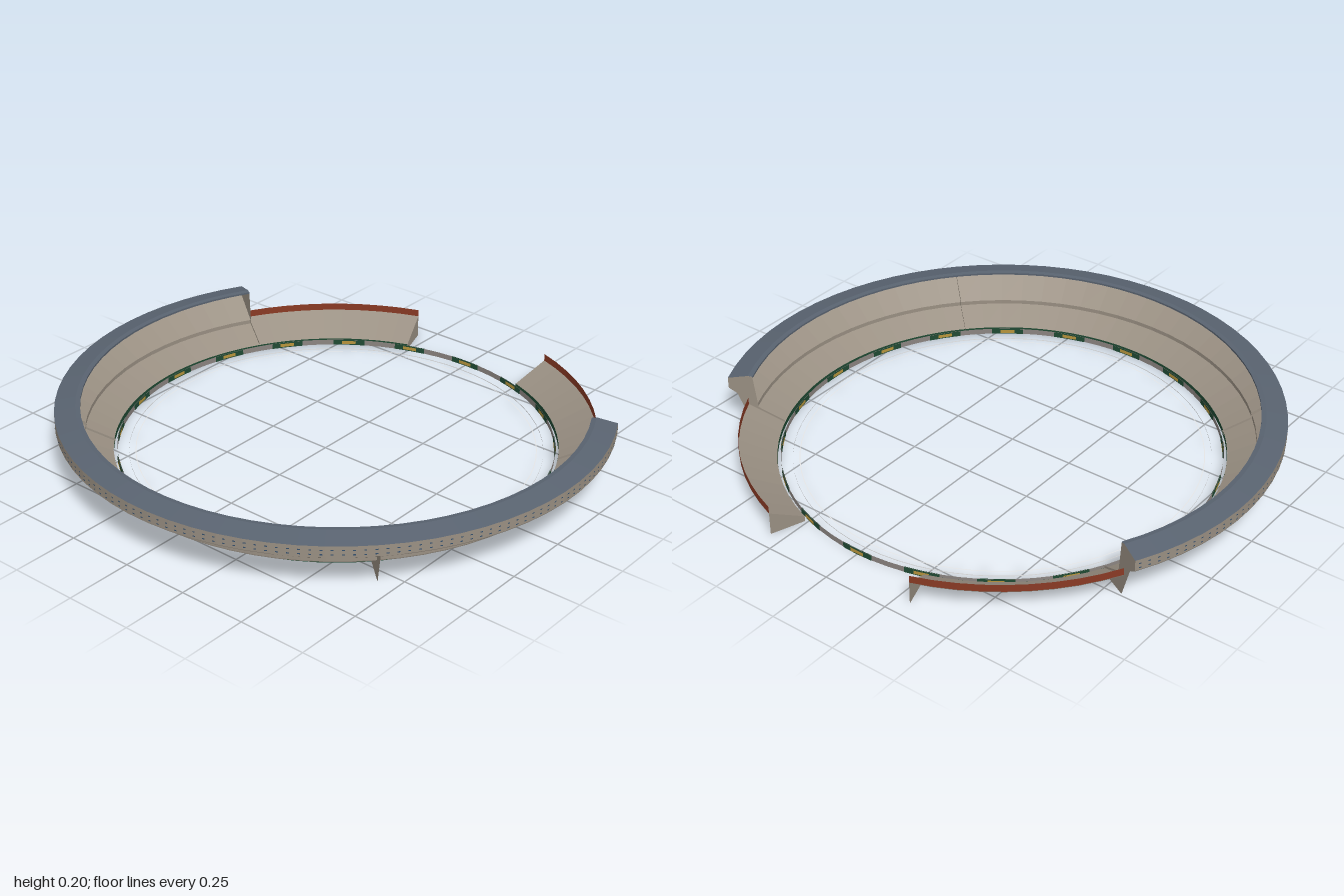
import * as THREE from 'three';

const mat = (name, color) => new THREE.MeshStandardMaterial({ name, color, side: THREE.DoubleSide });
const rad = THREE.MathUtils.degToRad;

export function createModel() {
  const concrete = mat('concrete', 0x9a9083);
  const shade = mat('underside concrete', 0x857d72);
  const slate = mat('roof slate', 0x596370);
  const red = mat('rim red', 0x8a3a24);
  const green = mat('board green', 0x1f4a33);
  const gold = mat('board gold', 0xb8953c);
  const grey = mat('board grey', 0x8c8581);
  const glass = mat('window blue', 0x34506e);
  const white = mat('boundary white', 0xf0f0f0);

  const model = new THREE.Group();
  model.name = 'stadiumBowl';
  const bowl = new THREE.Group();
  bowl.name = 'bowl';
  bowl.position.z = -0.06;
  model.add(bowl);

  const add = (name, geometry, material) => {
    const mesh = new THREE.Mesh(geometry, material);
    mesh.name = name;
    bowl.add(mesh);
    return mesh;
  };

  // Sweeps a radius/height profile around y; angles in degrees from the front
  const sweep = (name, profile, material, from, to, step = 5) => {
    const segments = Math.max(1, Math.round((to - from) / step));
    const points = profile.map(([r, y]) => new THREE.Vector2(r, y));
    const geometry = new THREE.LatheGeometry(points, segments, rad(from), rad(to - from)).toNonIndexed();
    geometry.computeVertexNormals();
    return add(name, geometry, material);
  };

  // Flat radial plate at a given angle
  const plate = (name, outline, material, angle) => {
    const shape = new THREE.Shape(outline.map(([r, y]) => new THREE.Vector2(r, y)));
    add(name, new THREE.ShapeGeometry(shape), material).rotation.y = rad(angle - 90);
  };

  const END = 118, BACK = 161;

  // Main stand: lower seats, step and upper seats, then the facade and roof
  sweep('mainStand', [[0.8, 0.02], [0.9, 0.07], [0.9, 0.085], [1, 0.15]], concrete, -END, END);
  sweep('lowerUnderside', [[0.801, 0.018], [0.901, 0.068]], shade, -END, END);
  sweep('upperUnderside', [[0.901, 0.083], [1, 0.148]], shade, -END, END);
  sweep('facade', [[1, 0.15], [1, 0.19]], concrete, -END, END);
  sweep('roof', [[1, 0.19], [0.925, 0.205], [0.908, 0.203], [0.908, 0.196]], slate, -END, END);

  // Two rows of tiny facade windows
  for (let a = -117; a <= 117; a += 2) {
    for (const y of [0.158, 0.174]) {
      sweep('facadeWindow', [[1.001, y], [1.001, y + 0.004]], glass, a - 0.25, a + 0.25);
    }
  }

  // Rear wings with a red rim
  for (const [from, to] of [[-BACK, -END], [END, BACK]]) {
    sweep('rearStand', [[0.8, 0.02], [0.93, 0.085]], concrete, from, to);
    sweep('rearUnderside', [[0.801, 0.018], [0.93, 0.083]], shade, from, to);
    sweep('rearRim', [[0.93, 0.085], [0.93, 0.112]], red, from, to);
  }
  sweep('standBase', [[0.8, 0], [0.8, 0.02]], green, -BACK, BACK);

  // Supporting fins, end walls and aisle ribs
  for (const side of [-1, 1]) {
    plate('frontFin', [[0.8, 0], [0.92, 0], [0.97, 0.128], [0.9, 0.1], [0.893, 0.075], [0.794, 0.026]], concrete, 48 * side);
    plate('aisleRib', [[0.9, 0.085], [1, 0.15], [1, 0.16], [0.893, 0.093]], concrete, 48 * side);
    plate('standEnd', [[0.8, 0], [0.92, 0], [0.97, 0.13], [1, 0.15], [1, 0.19], [0.925, 0.205],
      [0.908, 0.2], [0.895, 0.085], [0.895, 0.076], [0.8, 0.028]], concrete, END * side);
    plate('rearFin', [[0.8, 0], [0.93, 0], [0.93, 0.085], [0.8, 0.02]], concrete, BACK * side);
  }

  // Grey board ring; each bay has a green panel with a gold insert on both faces
  sweep('boardRing', [[0.787, 0], [0.787, 0.021]], grey, 0, 360, 4.5);
  for (let a = 0; a < 360; a += 18) {
    for (const face of [-1, 1]) {
      const r = 0.787 + 0.0015 * face;
      const inset = r + 0.0015 * face;
      sweep('greenPanel', [[r, 0], [r, 0.021]], green, a - 4.5, a + 4.5, 4.5);
      sweep('goldInsert', [[inset, 0.004], [inset, 0.017]], gold, a - 2, a + 2);
    }
  }

  // Slim boundary markings around the field: flat line and low upright band
  sweep('boundaryLine', [[0.72, 0.002], [0.723, 0.002]], white, 0, 360);
  sweep('boundaryBand', [[0.746, 0], [0.746, 0.003]], white, 0, 360);

  return model;
}
